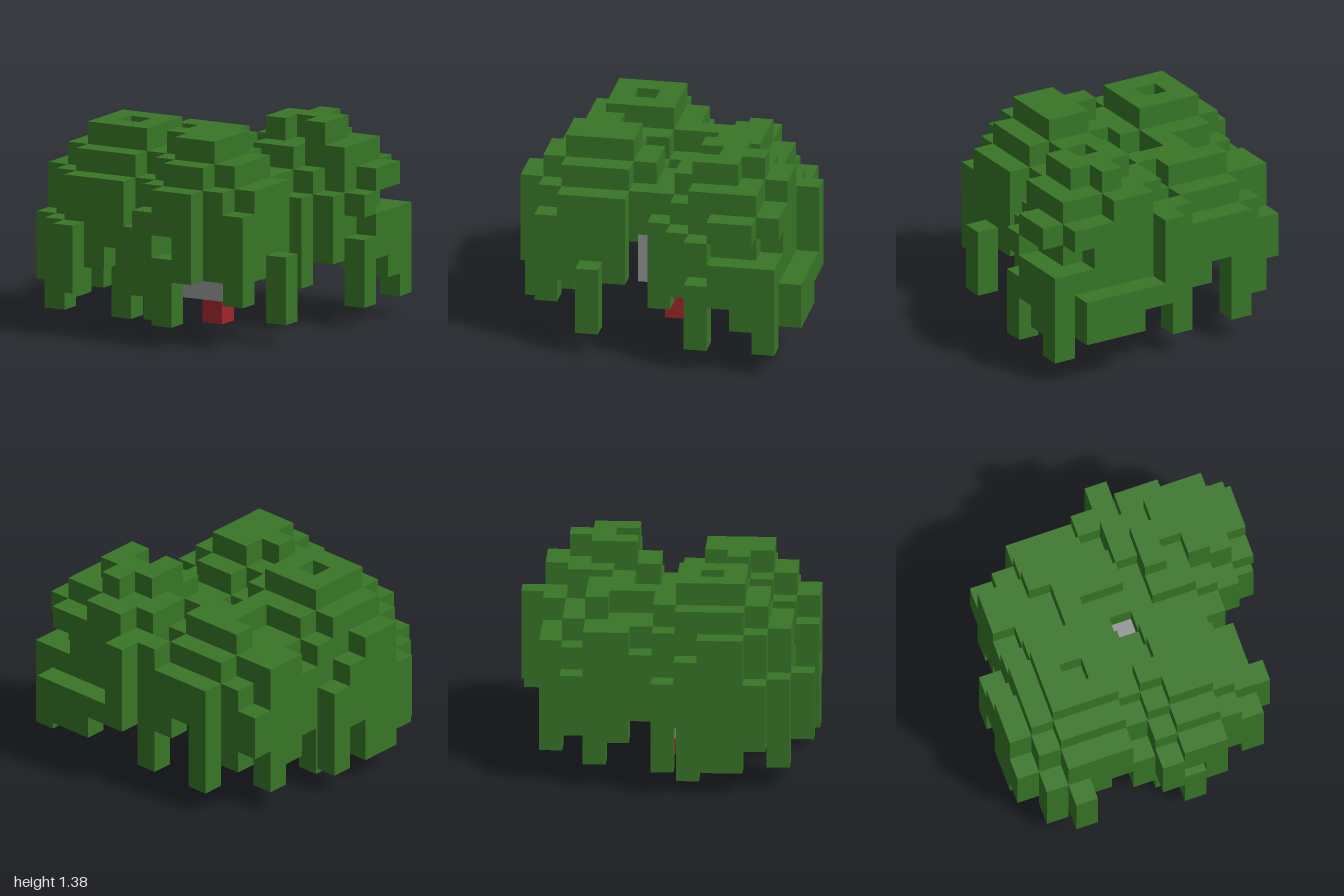
import * as THREE from 'three';

const N = 13, U = 2 / N; // cells per side, size of one cell

// canopy height map, one string per row from back to front: top level of each cell
const TOPS = [
  '.......74444.',
  '...6667788775',
  '.567776889887',
  '.778887899987',
  '.777888798986',
  '.67787778876.',
  '578887.7776..',
  '6899987887...',
  '78989889987..',
  '789998999874.',
  '57888789987..',
  '.5777578876..',
  '..5...677....',
];
// level at which the hanging leaves of each cell end
const BOTTOMS = [
  '.......33222.',
  '...1431334231',
  '.324454445532',
  '.145656565643',
  '.245565656541',
  '.35566555653.',
  '135565.5552..',
  '3405665665...',
  '14666666653..',
  '146565666641.',
  '23556566653..',
  '.1434215532..',
  '..2...313....',
];
// open cells between leaves as column, level, row
const GAPS = [[7, 4, 12], [12, 4, 4], [12, 5, 3], [12, 5, 2], [11, 5, 1]];
// stem and its branches as column, level, row
const STEM = [
  [6, 1, 6], [5, 1, 6],
  [6, 2, 6], [5, 2, 6], [4, 2, 6], [6, 2, 5], [5, 2, 5], [6, 2, 7], [7, 2, 7],
  [6, 3, 6], [7, 3, 6], [7, 3, 7], [5, 3, 5], [4, 3, 5],
  [6, 4, 7], [7, 4, 7], [6, 5, 6],
];
// the six cube sides
const SIDES = [[1, 0, 0], [-1, 0, 0], [0, 1, 0], [0, -1, 0], [0, 0, 1], [0, 0, -1]];

const key = (c) => c.join();

// mesh of cubes holding only the faces that touch open air
function voxelMesh(name, cells, solid, material) {
  const pos = [], nor = [];
  for (const c of cells) {
    for (const n of SIDES) {
      if (solid.has(key(c.map((v, i) => v + n[i])))) continue;
      const out = new THREE.Vector3(...n);
      const a = new THREE.Vector3(n[1], n[2], n[0]); // tangents with a x b = n
      const b = new THREE.Vector3().crossVectors(out, a);
      const mid = new THREE.Vector3(c[0] - N / 2 + 0.5, c[1] + 0.5, c[2] - N / 2 + 0.5)
        .addScaledVector(out, 0.5);
      for (const [s, t] of [[-1, -1], [1, -1], [1, 1], [-1, -1], [1, 1], [-1, 1]]) {
        const p = mid.clone().addScaledVector(a, s / 2).addScaledVector(b, t / 2);
        pos.push(p.x * U, p.y * U, p.z * U);
        nor.push(...n);
      }
    }
  }
  const g = new THREE.BufferGeometry();
  g.setAttribute('position', new THREE.Float32BufferAttribute(pos, 3));
  g.setAttribute('normal', new THREE.Float32BufferAttribute(nor, 3));
  const mesh = new THREE.Mesh(g, material);
  mesh.name = name;
  return mesh;
}

function flat(name, color) {
  const m = new THREE.MeshStandardMaterial({ color });
  m.name = name;
  return m;
}

export function createModel() {
  const leafGreen = flat('leafGreen', 0x387626);
  const stemGrey = flat('stemGrey', 0x959595);
  const baseRed = flat('baseRed', 0xa0262a);

  // fill each canopy column between its two levels, leaving the stem and gaps free
  const base = [[6, 0, 6]];
  const wood = new Set([...STEM, ...base].map(key));
  const gaps = new Set(GAPS.map(key));
  const leaves = [];
  for (let z = 0; z < N; z++) {
    for (let x = 0; x < N; x++) {
      if (TOPS[z][x] === '.') continue;
      for (let y = +BOTTOMS[z][x]; y < +TOPS[z][x]; y++) {
        const k = key([x, y, z]);
        if (!gaps.has(k) && !wood.has(k)) leaves.push([x, y, z]);
      }
    }
  }

  const solid = new Set([...leaves.map(key), ...wood]);
  const group = new THREE.Group();
  group.name = 'blockTree';
  group.add(
    voxelMesh('leafCanopy', leaves, solid, leafGreen),
    voxelMesh('stemAndBranches', STEM, solid, stemGrey),
    voxelMesh('baseBlock', base, solid, baseRed),
  );
  return group;
}
